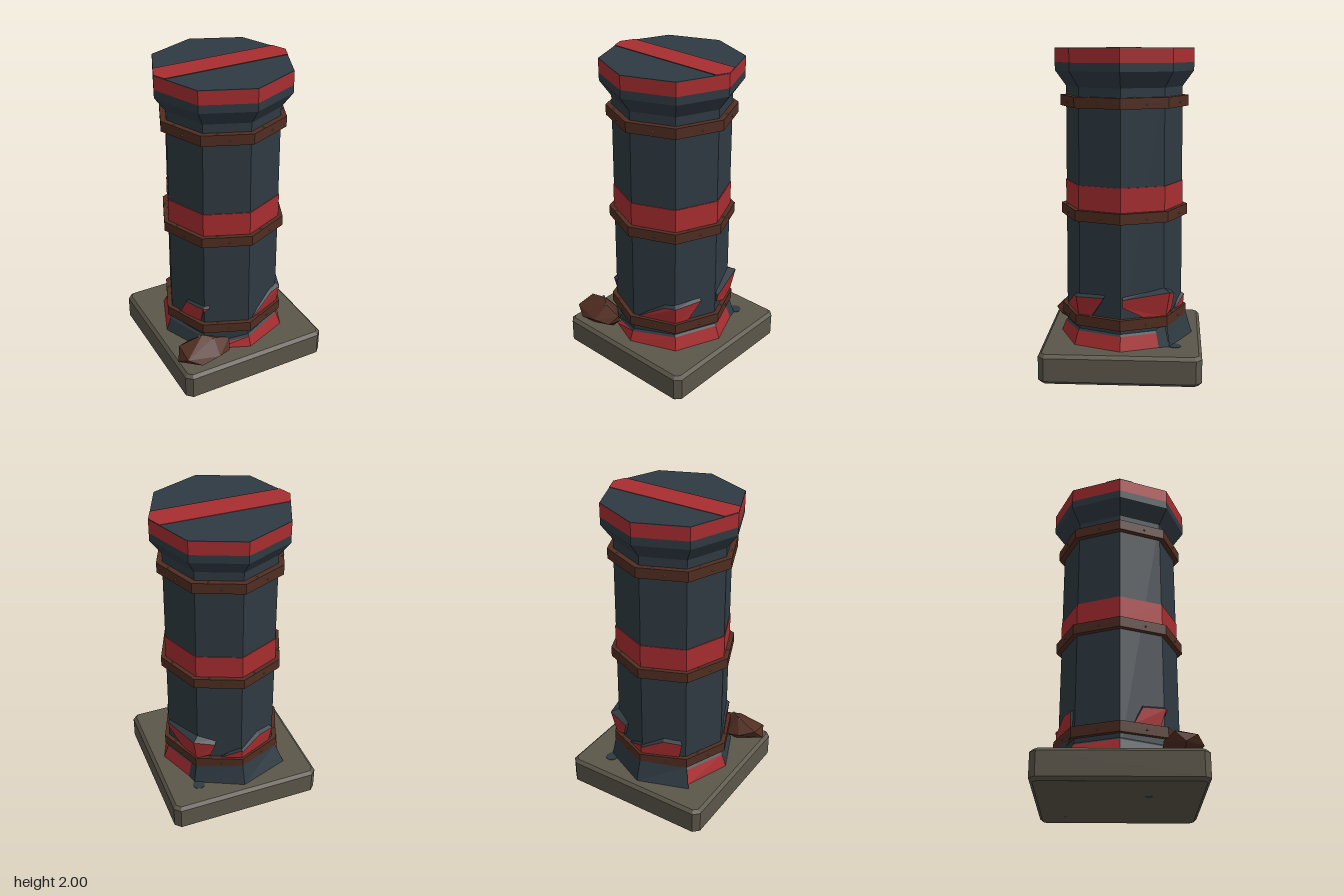
import * as THREE from 'three';
import { ConvexGeometry } from 'three/addons/geometries/ConvexGeometry.js';

const paint = (name, color) => {
  const m = new THREE.MeshStandardMaterial({ color });
  m.name = name;
  return m;
};

// Point on an octagon: u counts corners from +z towards +x, r is the corner radius
function octPoint(u, y, r) {
  const i = Math.floor(u), t = u - i;
  const corner = k => new THREE.Vector3(Math.sin(k * Math.PI / 4) * r, y, Math.cos(k * Math.PI / 4) * r);
  return corner(i).lerp(corner(i + 1), t);
}

// Triangle fans from lists of corners
function facets(polygons) {
  const pos = [];
  for (const p of polygons)
    for (let i = 1; i < p.length - 1; i++)
      for (const v of [p[0], p[i], p[i + 1]]) pos.push(v.x, v.y, v.z);
  const g = new THREE.BufferGeometry();
  g.setAttribute('position', new THREE.Float32BufferAttribute(pos, 3));
  g.computeVertexNormals();
  return g;
}

function octagon(rTop, rBottom, y0, y1) {
  const g = new THREE.CylinderGeometry(rTop, rBottom, y1 - y0, 8).toNonIndexed();
  g.computeVertexNormals();
  return g.translate(0, (y0 + y1) / 2, 0);
}

export function createModel() {
  const model = new THREE.Group();
  const slate = paint('slate', 0x2f3a42);
  const red = paint('red', 0xa82d30);
  const rust = paint('rust brown', 0x502d21);
  const stone = paint('stone', 0x5b564a);
  const grey = paint('rivet grey', 0x6a6761);

  const add = (name, geometry, material, parent = model) => {
    const mesh = new THREE.Mesh(geometry, material);
    mesh.name = name;
    parent.add(mesh);
    return mesh;
  };
  const group = name => {
    const g = new THREE.Group();
    g.name = name;
    model.add(g);
    return g;
  };

  // Chamfered square plinth
  const h = 0.475, c = 0.45;
  const square = new THREE.Shape([[h, -c], [h, c], [c, h], [-c, h], [-h, c], [-h, -c], [-c, -h], [c, -h]]
    .map(([x, y]) => new THREE.Vector2(x, y)));
  const plinth = new THREE.ExtrudeGeometry(square, {
    depth: 0.145, bevelEnabled: true, bevelThickness: 0.02, bevelSize: 0.02, bevelSegments: 1
  });
  add('plinth', plinth.rotateX(-Math.PI / 2).translate(0, 0.02, 0), stone);

  // Bolt ends showing on the plinth
  const bolts = group('plinthBolts');
  for (const [x, y, z, r] of [[0.28, 0.185, -0.33, 0.04], [0.32, 0.003, -0.33, 0.025],
    [-0.18, 0.003, -0.18, 0.025], [-0.16, 0.003, 0.16, 0.035]])
    add('bolt', new THREE.CylinderGeometry(r, r, 0.006, 8).translate(x, y, z), slate, bolts);

  // Shaft, painted belt and flared crown
  add('shaft', octagon(0.361, 0.368, 0.18, 1.78), slate);
  add('paintedBelt', octagon(0.368, 0.368, 1.03, 1.18), red);
  add('crownFlare', octagon(0.43, 0.361, 1.765, 1.86), slate);
  add('crown', octagon(0.43, 0.43, 1.86, 1.91), slate);
  add('crownStripe', octagon(0.43, 0.43, 1.91, 1.992), red);
  add('crownTop', octagon(0.429, 0.43, 1.992, 1.996), slate);

  // Stripe across the crown top
  const across = (z0, z1) => {
    const edge = z => 0.429 - 0.414 * Math.abs(z);
    const zs = z0 < 0 ? [z0, 0, z1] : [z0, z1];
    const right = zs.map(z => new THREE.Vector2(edge(z), -z));
    const left = zs.map(z => new THREE.Vector2(-edge(z), -z)).reverse();
    return new THREE.ExtrudeGeometry(new THREE.Shape([...right, ...left]), { depth: 0.003, bevelEnabled: false })
      .rotateX(-Math.PI / 2).translate(0, 1.997, 0);
  };
  add('topStripe', across(-0.09, 0.073), red);
  add('topStripeEdge', across(0.073, 0.08), rust);

  // Three rusty hoops with small rivets
  const hoops = group('hoops');
  for (const y of [0.343, 0.998, 1.678]) {
    add('hoop', octagon(0.397, 0.397, y - 0.033, y + 0.033), rust, hoops);
    for (let i = 0; i < 8; i++) {
      const p = octPoint(i + 0.55, y - 0.005, 0.395), q = octPoint(i + 0.3, y + 0.032, 0.385);
      for (const v of [p, q])
        add('rivet', new THREE.OctahedronGeometry(0.009).translate(v.x, v.y, v.z), grey, hoops);
    }
  }

  // Flared skirt: [from corner, to corner, bottom radii, top heights, material]
  const skirt = group('skirt');
  for (const [u0, u1, r0, r1, y0, y1, mat] of [
    [0, 1, 0.405, 0.41, 0.25, 0.27, red], [1, 2, 0.41, 0.41, 0.27, 0.27, red],
    [2, 2.8, 0.41, 0.41, 0.27, 0.27, red], [2.8, 3, 0.41, 0.42, 0.27, 0.31, slate],
    [3, 4, 0.42, 0.438, 0.31, 0.33, slate], [4, 5, 0.438, 0.46, 0.33, 0.31, slate],
    [5, 6, 0.42, 0.41, 0.27, 0.27, red], [6, 7, 0.41, 0.405, 0.27, 0.26, slate],
    [7, 7.3, 0.405, 0.405, 0.25, 0.24, slate], [7.3, 8, 0.405, 0.405, 0.2, 0.25, red]]) {
    const a = octPoint(u0, 0.184, r0), b = octPoint(u1, 0.184, r1);
    const rTop = mat === slate && u0 >= 3 && u0 < 5 ? 0.395 : 0.38;
    const d = octPoint(u1, y1, rTop), e = octPoint(u0, y0, rTop);
    add('skirtPanel', facets([[a, b, d, e]]), mat, skirt);
    add('skirtLedge', facets([[e, d, octPoint(u1, y1 + 0.02, 0.36), octPoint(u0, y0 + 0.02, 0.36)]]), slate, skirt);
  }

  // Torn red plates above the lowest hoop, each corner as [u, y, radius]
  const shards = group('tornPlates');
  for (const outline of [
    [[0.1, 0.37, 0.374], [1, 0.37, 0.376], [1, 0.49, 0.395], [0.75, 0.48, 0.385]],
    [[1, 0.37, 0.376], [1.3, 0.37, 0.376], [1.62, 0.5, 0.385], [1, 0.49, 0.395]],
    [[2.05, 0.45, 0.376], [2.5, 0.38, 0.38], [3, 0.37, 0.385], [3, 0.53, 0.42], [2.05, 0.5, 0.385]],
    [[3, 0.37, 0.385], [3.3, 0.4, 0.385], [3.42, 0.49, 0.39], [3, 0.53, 0.42]],
    [[3.5, 0.37, 0.378], [4, 0.37, 0.38], [4, 0.44, 0.385]],
    [[4, 0.37, 0.38], [4.85, 0.37, 0.378], [4.9, 0.48, 0.39], [4.5, 0.49, 0.39], [4, 0.42, 0.383]],
    [[6.3, 0.37, 0.376], [6.9, 0.38, 0.374], [7, 0.49, 0.385], [6.5, 0.48, 0.38]],
    [[7, 0.45, 0.374], [7.12, 0.49, 0.38], [7, 0.49, 0.385]]]) {
    const outer = outline.map(p => octPoint(...p));
    const inner = outline.map(([u, y]) => octPoint(u, y + (y > 0.4 ? 0.022 : 0), 0.355));
    add('tornPlate', facets([outer]), red, shards);
    add('tornEdge', facets(outer.map((a, i) => {
      const j = (i + 1) % outer.length;
      return [outer[j], a, inner[i], inner[j]];
    })), slate, shards);
  }

  // Faceted boulder on the front corner of the plinth
  const rock = [[-0.495, 0.22, 0.36], [-0.46, 0.29, 0.3], [-0.46, 0.27, 0.43], [-0.37, 0.26, 0.245],
    [-0.28, 0.24, 0.245], [-0.31, 0.345, 0.33], [-0.25, 0.33, 0.37], [-0.14, 0.29, 0.37], [-0.14, 0.25, 0.36],
    [-0.17, 0.24, 0.43], [-0.26, 0.26, 0.475], [-0.38, 0.23, 0.472], [-0.2, 0.187, 0.36],
    [-0.45, 0.2, 0.36], [-0.32, 0.187, 0.42], [-0.32, 0.187, 0.3]];
  add('boulder', new ConvexGeometry(rock.map(p => new THREE.Vector3(...p))), rust);
  for (const [x, y, z] of [[-0.328, 0.338, 0.322], [-0.258, 0.33, 0.37]])
    add('boulderSpeck', new THREE.OctahedronGeometry(0.011).translate(x, y, z), grey);

  return model;
}
